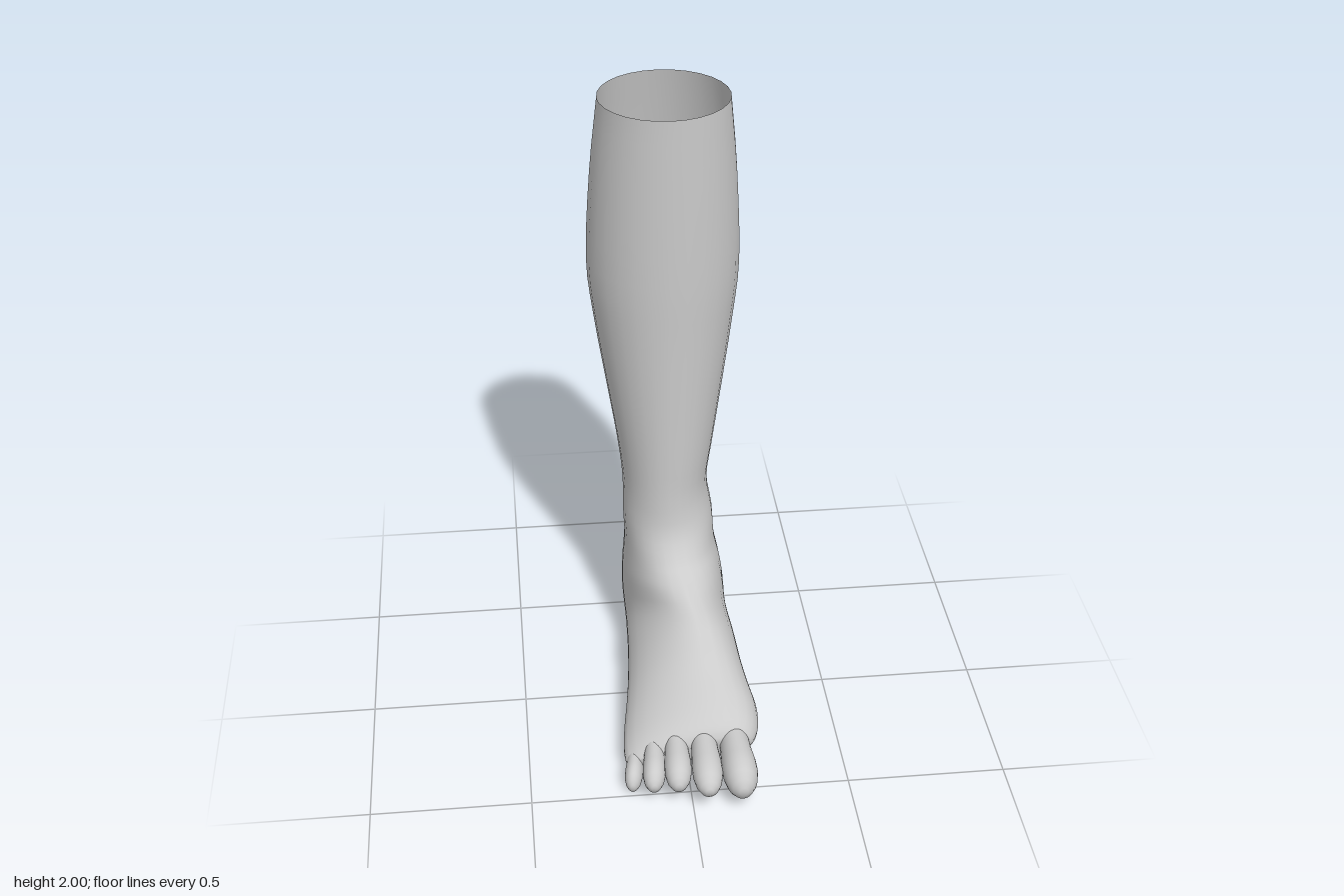
import * as THREE from 'three';

const SIDES = 28;
const material = new THREE.MeshStandardMaterial({ color: 0xcccccc, side: THREE.DoubleSide });

// Skin a list of rings (each SIDES points) and close the last ring to its centre.
function loft(rings, name) {
  const pos = [], index = [];
  for (const ring of rings) for (const p of ring) pos.push(p.x, p.y, p.z);
  const last = rings[rings.length - 1];
  const centre = last.reduce((sum, p) => sum.add(p), new THREE.Vector3()).divideScalar(SIDES);
  pos.push(centre.x, centre.y, centre.z);
  const tip = rings.length * SIDES;
  for (let i = 0; i < rings.length; i++) {
    for (let j = 0; j < SIDES; j++) {
      const a = i * SIDES + j, b = i * SIDES + (j + 1) % SIDES;
      if (i === rings.length - 1) index.push(a, tip, b);
      else index.push(a, a + SIDES, b, b, a + SIDES, b + SIDES);
    }
  }
  const geo = new THREE.BufferGeometry();
  geo.setAttribute('position', new THREE.Float32BufferAttribute(pos, 3));
  geo.setIndex(index);
  geo.computeVertexNormals();
  const mesh = new THREE.Mesh(geo, material);
  mesh.name = name;
  return mesh;
}

// Leg rings, top to ankle: height, shin z, calf z, outer x, inner x
const LEG = [
  [2, -0.115, -0.515, -0.2, 0.2],
  [1.75, -0.12, -0.57, -0.225, 0.225],
  [1.45, -0.127, -0.625, -0.24, 0.24],
  [1.25, -0.135, -0.615, -0.222, 0.222],
  [1.0, -0.143, -0.575, -0.185, 0.187],
  [0.8, -0.148, -0.537, -0.155, 0.157],
  [0.66, -0.15, -0.51, -0.141, 0.138],
  [0.54, -0.138, -0.49, -0.142, 0.155],
];

// Foot rings fan round the heel: instep z, y, heel or sole z, y, outer x, inner x
const FOOT = [
  [-0.09, 0.46, -0.508, 0.42, -0.14, 0.16],
  [-0.05, 0.43, -0.54, 0.3, -0.145, 0.175],
  [-0.01, 0.41, -0.555, 0.19, -0.15, 0.185],
  [0.02, 0.395, -0.545, 0.09, -0.15, 0.19],
  [0.04, 0.385, -0.5, 0.05, -0.148, 0.19],
  [0.06, 0.375, -0.42, 0.043, -0.147, 0.19],
  [0.08, 0.365, -0.32, 0.06, -0.148, 0.19],
  [0.11, 0.35, -0.2, 0.08, -0.152, 0.192],
  [0.15, 0.328, -0.08, 0.082, -0.158, 0.195],
  [0.2, 0.303, 0.04, 0.072, -0.168, 0.2],
  [0.26, 0.27, 0.15, 0.057, -0.182, 0.212],
  [0.32, 0.24, 0.25, 0.045, -0.197, 0.226],
  [0.38, 0.208, 0.34, 0.047, -0.205, 0.222],
  [0.42, 0.175, 0.4, 0.055, -0.2, 0.2],
  [0.435, 0.14, 0.42, 0.08, -0.175, 0.175],
];

function legAndFoot() {
  const table = LEG.map(([y, zf, zb, xl, xr]) => [zf, y, zb, y, xl, xr]).concat(FOOT);
  const front = new THREE.CatmullRomCurve3(table.map(r => new THREE.Vector3(r[4], r[1], r[0])), false, 'catmullrom');
  const back = new THREE.CatmullRomCurve3(table.map(r => new THREE.Vector3(r[5], r[3], r[2])), false, 'catmullrom');
  const steps = (table.length - 1) * 3;
  const rings = [];
  for (let i = 0; i <= steps; i++) {
    const a = front.getPoint(i / steps), b = back.getPoint(i / steps);
    const f = Math.max(0, (i / 3 - LEG.length + 1) / FOOT.length); // progress along the foot
    const flat = 0.38 * Math.min(1, f * 2);
    const peak = 0.08 * f, tilt = 0.12 * f * f;
    const arch = 0.03 * Math.sin(Math.PI * THREE.MathUtils.clamp((f - 0.4) / 0.45, 0, 1));
    const ring = [];
    for (let j = 0; j < SIDES; j++) {
      const angle = j / SIDES * Math.PI * 2;
      const c = Math.cos(angle);
      let s = Math.sin(angle);
      if (c < 0) s = Math.sign(s) * Math.abs(s) ** (1 - flat); // flatter sole
      const h = (1 + c - flat * (1 - c * c)) / 2;
      const x = (a.x + b.x) / 2 + (b.x - a.x) / 2 * s + peak * h * h;
      const lift = arch * Math.max(0, x / 0.2) * (1 - h);
      ring.push(new THREE.Vector3(
        x,
        b.y + (a.y - b.y) * h + tilt * (x - peak) + lift,
        b.z + (a.z - b.z) * h));
    }
    rings.push(ring);
  }
  return loft(rings, 'legAndFoot');
}

// Toe: root x, tip x, tip z, half width, centre height, half height
const TOES = {
  bigToe: [0.143, 0.15, 0.622, 0.054, 0.108, 0.066],
  secondToe: [0.05, 0.045, 0.62, 0.047, 0.115, 0.052],
  thirdToe: [-0.035, -0.045, 0.578, 0.042, 0.105, 0.05],
  fourthToe: [-0.102, -0.12, 0.55, 0.036, 0.083, 0.046],
  littleToe: [-0.16, -0.183, 0.5, 0.028, 0.046, 0.042],
};
// Toe thickness from root to tip: position, scale
const TOE_PROFILE = [[0, 0.75], [0.2, 0.85], [0.4, 0.9], [0.6, 1], [0.75, 1], [0.87, 0.86], [0.95, 0.6], [0.99, 0.25]];

function toe(name, [x0, x1, tipZ, w, y, h]) {
  const rings = TOE_PROFILE.map(([t, r]) => {
    const ring = [];
    for (let j = 0; j < SIDES; j++) {
      const angle = j / SIDES * Math.PI * 2;
      ring.push(new THREE.Vector3(
        THREE.MathUtils.lerp(x0, x1, t) + w * r * Math.sin(angle),
        y + 0.018 * (1 - t) ** 2 - 0.012 * t ** 6 + h * r * Math.cos(angle),
        THREE.MathUtils.lerp(0.34, tipZ, t)));
    }
    return ring;
  });
  return loft(rings, name);
}

export function createModel() {
  const group = new THREE.Group();
  group.name = 'lowerLeg';
  group.add(legAndFoot());
  for (const [name, spec] of Object.entries(TOES)) group.add(toe(name, spec));
  return group;
}
